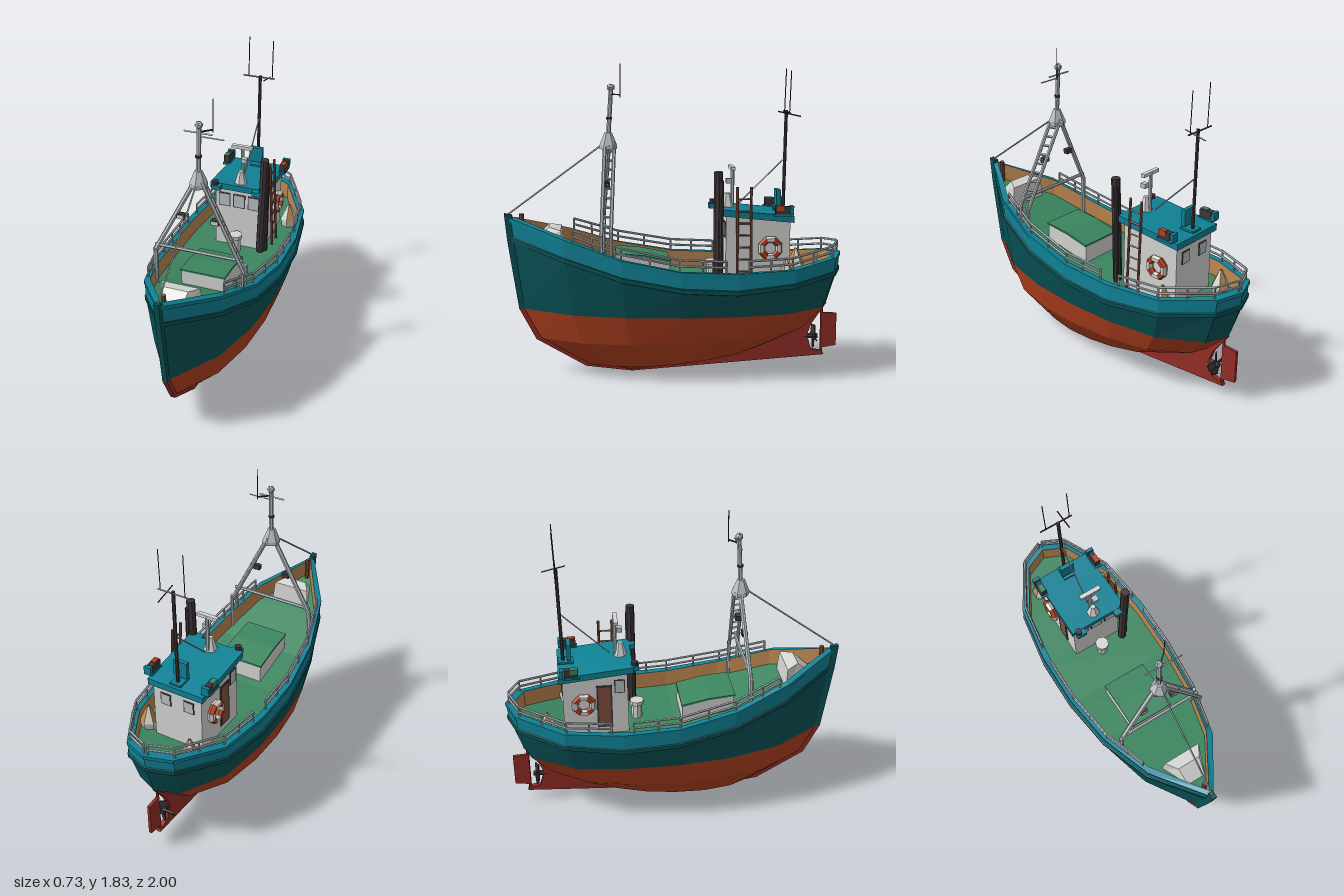
import * as THREE from 'three';

const mat = (name, color) => {
  const m = new THREE.MeshStandardMaterial({ color, side: THREE.DoubleSide });
  m.name = name;
  return m;
};
const V = (x, y, z) => new THREE.Vector3(x, y, z);

export function createModel() {
  const M = {
    teal: mat('bright teal', 0x0f8296), hull: mat('deep teal', 0x075256), red: mat('orange red', 0xb54220),
    keel: mat('keel red', 0x942d27), green: mat('deck green', 0x3c8660), tan: mat('wood tan', 0xbd8650),
    wood: mat('rust brown', 0x84503f), white: mat('off white', 0xd6d6d4), grey: mat('light metal grey', 0xb9c2c6),
    dark: mat('dark brown', 0x40363a),
  };
  const root = new THREE.Group();
  root.name = 'fishingBoat';

  // Helpers
  const flat = (g) => {
    const n = g.index ? g.toNonIndexed() : g;
    n.computeVertexNormals();
    return n;
  };
  const add = (name, geo, m, x = 0, y = 0, z = 0) => {
    const mesh = new THREE.Mesh(flat(geo), m);
    mesh.name = name;
    mesh.position.set(x, y, z);
    root.add(mesh);
    return mesh;
  };
  const box = (name, w, h, d, m, x, y, z) => add(name, new THREE.BoxGeometry(w, h, d), m, x, y, z);
  const drum = (name, rt, rb, h, n, m, x, y, z) => add(name, new THREE.CylinderGeometry(rt, rb, h, n), m, x, y + h / 2, z);
  const rod = (name, a, b, r, m, n = 6) => {
    const d = b.clone().sub(a);
    const mesh = add(name, new THREE.CylinderGeometry(r, r, d.length(), n), m);
    mesh.position.copy(a).addScaledVector(d, 0.5);
    mesh.quaternion.setFromUnitVectors(V(0, 1, 0), d.normalize());
    return mesh;
  };
  const ladder = (name, a, b, off, n, r, m) => {
    rod(name + 'Rail', a, b, r, m);
    rod(name + 'Rail', a.clone().add(off), b.clone().add(off), r, m);
    for (let i = 1; i < n; i++) {
      const p = a.clone().lerp(b, i / n);
      rod(name + 'Rung', p, p.clone().add(off), r * 0.7, m, 4);
    }
  };
  // Side profile given as (z, y) pairs, extruded across x
  const profile = (name, pts, w, m) => {
    const s = new THREE.Shape(pts.map(([z, y]) => new THREE.Vector2(z, y)));
    const g = new THREE.ExtrudeGeometry(s, { depth: w, bevelEnabled: false });
    g.rotateY(-Math.PI / 2).translate(w / 2, 0, 0);
    return add(name, g, m);
  };
  const surface = (quads) => {
    const p = [];
    for (const [a, b, c, d] of quads) for (const v of [a, b, c, a, c, d]) p.push(v.x, v.y, v.z);
    return new THREE.BufferGeometry().setAttribute('position', new THREE.Float32BufferAttribute(p, 3));
  };
  const loft = (name, rings, m) => {
    const q = [];
    for (let k = 0; k + 1 < rings.length; k++) {
      const lo = rings[k], hi = rings[k + 1], n = lo.length;
      for (let i = 0; i < n; i++) q.push([lo[i], lo[(i + 1) % n], hi[(i + 1) % n], hi[i]]);
    }
    return add(name, surface(q), m);
  };

  // Hull rings, station by station from bow to stern and back
  const T = [1, 0.835, 0.67, 0.5, 0.335, 0.167, 0.03, 0];
  const W = [0, 0.62, 0.89, 1, 1, 0.87, 0.42, 0];
  const TOP = [0.945, 0.845, 0.735, 0.67, 0.655, 0.662, 0.70, 0.71];
  const RUB = [0.82, 0.725, 0.625, 0.565, 0.547, 0.572, 0.607, 0.615];
  const ring = (zF, zA, w, y) => {
    const half = T.map((t, i) => V(w * W[i], typeof y === 'function' ? y(t) : y[i], zA + t * (zF - zA)));
    return half.concat(half.slice(1, -1).reverse().map((p) => V(-p.x, p.y, p.z)));
  };
  const shift = (r, sx, sz, dy) => r.map((p) => V(p.x * sx, p.y + dy, p.z * sz));
  const fill = (r) => T.slice(1).map((_, i) => [r[i], r[i + 1], r[(14 - i - 1) % 14], r[(14 - i) % 14]]);
  const top = ring(0.985, -0.995, 0.354, TOP);
  const rub = ring(0.97, -0.988, 0.358, RUB);
  const water = ring(0.915, -0.92, 0.322, () => 0.4);
  const mid = ring(0.82, -0.8, 0.275, (t) => 0.22 + 0.06 * (1 - t) ** 2);
  const bilge = ring(0.53, -0.55, 0.155, (t) => 0.05 + 0.115 * (1 - t) ** 2);
  const bottom = ring(0.26, -0.2, 0.03, (t) => 0.07 - 0.06 * t);
  loft('hullBottom', [bottom, bilge, mid, water], M.red);
  add('hullFloor', surface(fill(bottom)), M.red);
  loft('hullTopsides', [water, rub], M.hull);
  loft('bulwark', [rub, top], M.teal);
  loft('rubRail', [shift(rub, 1, 1, -0.015), shift(rub, 1.022, 1.008, -0.012), shift(rub, 1.022, 1.008, 0.012), shift(rub, 1, 1, 0.015)], M.hull);
  const innerTop = shift(top, 0.91, 0.955, 0.002);
  const deckRing = shift(top, 0.905, 0.95, -0.1);
  loft('capRail', [shift(top, 1.015, 1.005, -0.018), shift(top, 1.015, 1.005, 0.004), innerTop], M.teal);
  loft('innerBulwark', [innerTop, deckRing], M.tan);
  add('deck', surface(fill(deckRing)), M.green);

  // Stem, keel, rudder and propeller
  profile('stem', [[1, 0.968], [0.985, 0.81], [0.925, 0.4], [0.87, 0.4], [0.93, 0.81], [0.955, 0.96]], 0.03, M.hull);
  profile('keel', [[0.925, 0.4], [0.828, 0.213], [0.535, 0.04], [0.26, 0.003], [-0.91, 0.075], [-0.9, 0.095], [-0.83, 0.11],
    [-0.805, 0.2], [-0.83, 0.27], [-0.92, 0.4], [-0.8, 0.4], [-0.5, 0.25], [0.3, 0.1], [0.55, 0.1], [0.8, 0.25], [0.88, 0.4]], 0.028, M.keel);
  profile('rudder', [[-0.89, 0.335], [-0.985, 0.33], [-0.985, 0.13], [-0.89, 0.115]], 0.018, M.keel);
  rod('rudderPost', V(0, 0.08, -0.895), V(0, 0.42, -0.895), 0.009, M.keel);
  rod('propellerHub', V(0, 0.19, -0.79), V(0, 0.19, -0.87), 0.016, M.dark, 8);
  for (let i = 0; i < 4; i++) {
    const blade = box('propellerBlade', 0.035, 0.07, 0.008, M.dark, 0, 0.19, -0.845);
    blade.rotation.set(0, 0, i * Math.PI / 2);
    blade.translateY(0.035);
    blade.rotateY(0.5);
  }

  // Railings following the cap rail
  const railPath = (zs, s, h) => zs.map((z) => {
    let i = 0;
    while (i < 6 && top[i + 1].z > z) i++;
    const p = top[i].clone().lerp(top[i + 1], (top[i].z - z) / (top[i].z - top[i + 1].z));
    return V(p.x * 0.95 * s, p.y + h, p.z * 0.985);
  });
  for (const s of [1, -1]) {
    for (const zs of [[0.61, 0.5, 0.335, 0.17, 0, -0.13, -0.27], [-0.4, -0.53, -0.66, -0.8, -0.93, -0.99]]) {
      const foot = railPath(zs, s, 0);
      for (const h of [0.035, 0.07]) {
        const path = railPath(zs, s, h);
        for (let i = 1; i < path.length; i++) rod('guardRail', path[i - 1], path[i], 0.007, M.grey);
        if (h === 0.07) path.forEach((p, i) => rod('railPost', foot[i], p, 0.006, M.grey));
      }
    }
  }

  // Cargo hatch and bow locker
  profile('hatchCoaming', [[0.35, 0.62], [0.35, 0.737], [0.195, 0.72], [0.04, 0.685], [0.04, 0.56]], 0.26, M.white);
  profile('hatchCover', [[0.355, 0.737], [0.355, 0.747], [0.195, 0.732], [0.035, 0.697], [0.035, 0.685], [0.195, 0.72]], 0.272, M.green);
  const lockBase = [V(0.13, 0.72, 0.66), V(-0.13, 0.72, 0.66), V(-0.055, 0.8, 0.845), V(0.055, 0.8, 0.845)];
  const lockTop = [V(0.115, 0.88, 0.67), V(-0.115, 0.88, 0.67), V(-0.07, 0.895, 0.74), V(0.07, 0.895, 0.74)];
  loft('bowLocker', [lockBase, lockTop], M.white);
  add('bowLockerLid', surface([[lockTop[3], lockTop[0], lockTop[1], lockTop[2]]]), M.white);
  drum('bowPost', 0.014, 0.014, 0.165, 8, M.wood, 0, 0.8, 0.9);

  // Wheelhouse
  profile('wheelhouse', [[-0.28, 0.54], [-0.285, 0.985], [-0.66, 0.94], [-0.66, 0.54]], 0.31, M.white);
  profile('wheelhouseRoof', [[-0.25, 1.0], [-0.68, 0.957], [-0.68, 0.918], [-0.25, 0.962]], 0.355, M.teal);
  const windowPlate = (w, h, x, y, z, ry) => {
    const f = box('windowFrame', w + 0.012, h + 0.012, 0.006, M.dark, x, y, z);
    const p = box('windowPane', w, h, 0.009, M.grey, x, y, z);
    f.rotation.y = p.rotation.y = ry;
  };
  for (const x of [-0.095, 0, 0.095]) windowPlate(0.065, 0.08, x, 0.875, -0.283, 0);
  for (const x of [-0.075, 0.075]) windowPlate(0.055, 0.065, x, 0.84, -0.661, 0);
  windowPlate(0.05, 0.075, -0.156, 0.87, -0.33, Math.PI / 2);
  for (const s of [1, -1]) {
    // Lifebuoy in alternating segments
    for (let i = 0; i < 8; i++) {
      const g = new THREE.TorusGeometry(0.054, 0.021, 6, 1, Math.PI / 4);
      g.rotateZ(i * Math.PI / 4 + Math.PI / 8).rotateY(Math.PI / 2);
      add('lifebuoy', g, i % 2 ? M.white : M.red, s * 0.175, 0.77, -0.54);
    }
    // Navigation light in its dark box, with a screen behind
    box('lightScreen', 0.045, 0.05, 0.02, M.teal, s * 0.185, 0.995, -0.66);
    box('lightShelf', 0.045, 0.012, 0.1, M.teal, s * 0.185, 0.967, -0.605);
    box('lightBox', 0.035, 0.045, 0.08, M.dark, s * 0.185, 0.995, -0.605);
    box('navigationLight', 0.03, 0.03, 0.045, s > 0 ? M.red : M.green, s * 0.188, 1.008, -0.59);
  }
  box('door', 0.008, 0.28, 0.09, M.dark, -0.156, 0.74, -0.42);
  box('doorPanel', 0.009, 0.26, 0.07, M.wood, -0.157, 0.74, -0.42);

  // Roof equipment
  box('roofBox', 0.085, 0.1, 0.025, M.teal, 0, 1.045, -0.61);
  box('roofLocker', 0.07, 0.012, 0.09, M.teal, 0, 0.975, -0.63);
  for (const s of [1, -1]) box('roofCorner', 0.06, 0.03, 0.04, M.teal, s * 0.13, 0.982, -0.235);
  drum('radarBase', 0.016, 0.042, 0.09, 6, M.white, 0, 0.985, -0.31);
  rod('radarPost', V(0, 1, -0.34), V(0, 1.23, -0.34), 0.011, M.grey);
  box('radarBar', 0.13, 0.02, 0.025, M.white, 0, 1.225, -0.335);
  box('searchlight', 0.035, 0.028, 0.035, M.grey, 0.02, 1.15, -0.315);
  drum('hornBase', 0.02, 0.02, 0.04, 8, M.dark, -0.14, 0.98, -0.24);
  rod('exhaustStack', V(0.155, 0.58, -0.235), V(0.175, 1.22, -0.235), 0.026, M.dark, 8);
  rod('exhaustPipe', V(0.185, 0.58, -0.25), V(0.19, 1.17, -0.25), 0.014, M.dark, 8);
  ladder('roofLadder', V(0.2, 0.57, -0.345), V(0.175, 1.13, -0.345), V(0, 0, -0.08), 8, 0.008, M.wood);

  // Aft mast with aerials
  rod('aftMast', V(0, 0.95, -0.645), V(0, 1.56, -0.655), 0.01, M.dark);
  rod('aftYard', V(-0.11, 1.55, -0.66), V(0.09, 1.55, -0.66), 0.005, M.dark, 4);
  rod('aftSpreader', V(0.04, 1.555, -0.6), V(0.04, 1.525, -0.735), 0.004, M.dark, 4);
  rod('aftAerial', V(-0.075, 1.55, -0.66), V(-0.075, 1.8, -0.667), 0.003, M.dark, 4);
  rod('aftAerial', V(0.075, 1.55, -0.66), V(0.075, 1.79, -0.667), 0.003, M.dark, 4);
  rod('aftStay', V(0, 1.28, -0.65), V(0, 1.01, -0.375), 0.004, M.grey, 4);

  // Forward A-frame, ladder leg and topmast
  rod('rightLeg', V(-0.015, 1.38, 0.385), V(-0.255, 0.9, 0.42), 0.014, M.grey);
  rod('rightLegFoot', V(-0.255, 0.91, 0.42), V(-0.255, 0.65, 0.425), 0.014, M.grey);
  ladder('leftLeg', V(0.28, 0.87, 0.44), V(0.025, 1.38, 0.41), V(-0.02, 0, -0.055), 10, 0.011, M.grey);
  for (const z of [0.44, 0.385]) rod('leftLegFoot', V(0.27, 0.89, z), V(0.27, 0.65, z), 0.011, M.grey);
  rod('frameCrossbar', V(-0.255, 0.935, 0.42), V(0.265, 0.935, 0.42), 0.01, M.grey);
  drum('frameHead', 0.022, 0.052, 0.075, 6, M.grey, 0, 1.36, 0.39);
  drum('frameHeadPlate', 0.052, 0.052, 0.022, 6, M.grey, 0, 1.34, 0.39);
  rod('topmast', V(0, 1.4, 0.39), V(0, 1.68, 0.372), 0.013, M.grey);
  drum('mastCollar', 0.018, 0.018, 0.015, 6, M.dark, 0, 1.51, 0.384);
  add('mastheadLight', new THREE.IcosahedronGeometry(0.024, 0), M.grey, 0, 1.695, 0.372);
  rod('mastYard', V(-0.085, 1.65, 0.373), V(0.075, 1.65, 0.373), 0.005, M.grey, 4);
  rod('aerialArm', V(0, 1.655, 0.373), V(0.06, 1.655, 0.322), 0.005, M.dark, 4);
  rod('mastCrossbar', V(0, 1.63, 0.373), V(0.14, 1.63, 0.373), 0.004, M.grey, 4);
  rod('mastAerial', V(0.06, 1.64, 0.322), V(0.06, 1.83, 0.32), 0.003, M.dark, 4);
  rod('forestay', V(0, 1.37, 0.42), V(0, 0.965, 0.975), 0.005, M.grey, 4);
  for (const s of [1, -1]) {
    box('deckLight', 0.045, 0.03, 0.03, M.dark, s * 0.1, 1.14, 0.4);
    box('deckLightLens', 0.036, 0.022, 0.006, M.white, s * 0.1, 1.14, 0.416);
    rod('deckLightArm', V(s * 0.1, 1.14, 0.4), V(s * 0.14, 1.15, 0.4), 0.006, M.grey);
  }

  // Deck vent and marker buoys with alternating sectors
  drum('deckVent', 0.032, 0.032, 0.1, 8, M.white, 0, 0.55, -0.22);
  drum('deckVentCap', 0.042, 0.042, 0.025, 8, M.white, 0, 0.65, -0.22);
  for (const [x, z] of [[-0.135, -0.755], [0.225, -0.625]]) {
    drum('buoyBase', 0.055, 0.045, 0.05, 6, M.white, x, 0.56, z);
    for (let i = 0; i < 6; i++) {
      const g = new THREE.CylinderGeometry(0.008, 0.055, 0.1, 1, 1, true, i * Math.PI / 3, Math.PI / 3);
      add('buoySector', g, i % 2 ? M.white : M.tan, x, 0.66, z);
    }
  }
  return root;
}
